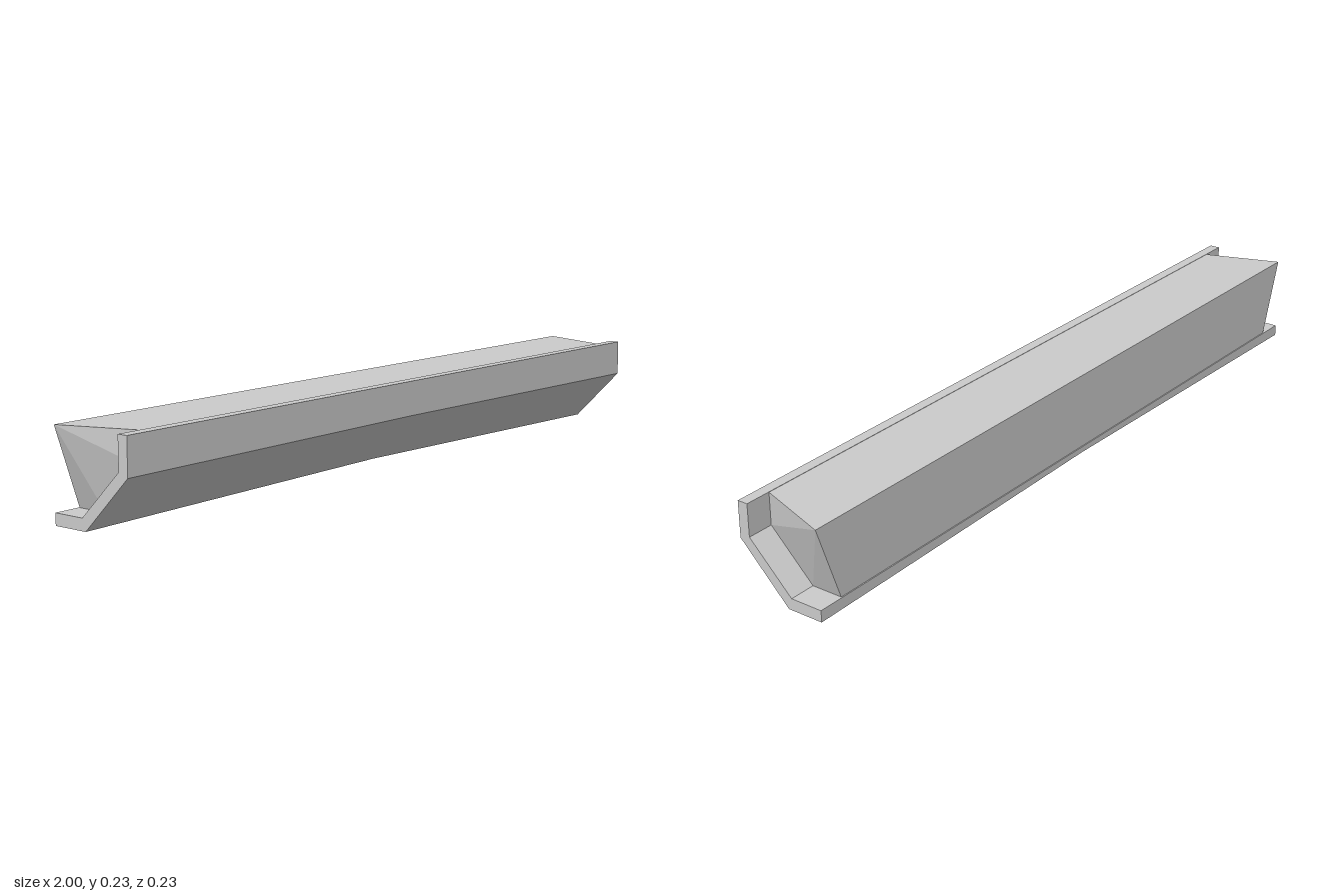
import * as THREE from 'three';
import { ConvexGeometry } from 'three/addons/geometries/ConvexGeometry.js';

const material = new THREE.MeshStandardMaterial({ color: 0xcccccc, flatShading: true });

// Shell cross-sections as [z, y]: outer face front to back, then inner face back to front
const inner = [[-0.116, 0.03], [-0.029, 0.03], [0.089, 0.147], [0.089, 0.231]];
const endSection = [[0.117, 0.231], [0.117, 0.137], [-0.019, 0], [-0.116, 0], ...inner];
// The underside rises slightly toward the middle
const midSection = [[0.117, 0.231], [0.117, 0.142], [-0.01, 0.015], [-0.116, 0.015], ...inner];

function shellGeometry() {
  const rings = [[-1, endSection], [0, midSection], [1, endSection]].map(
    ([x, section]) => section.map(([z, y]) => [x, y, z]));
  const positions = [];
  const quad = (a, b, c, d) => positions.push(...a, ...b, ...c, ...a, ...c, ...d);
  const n = endSection.length;

  // Skin between neighbouring sections
  for (let r = 0; r < rings.length - 1; r++) {
    for (let i = 0; i < n; i++) {
      const j = (i + 1) % n;
      quad(rings[r][i], rings[r][j], rings[r + 1][j], rings[r + 1][i]);
    }
  }
  // End caps
  const [left, right] = [rings[2], rings[0]];
  for (let i = 0; i < 3; i++) {
    quad(left[i], left[i + 1], left[6 - i], left[7 - i]);
    quad(right[7 - i], right[6 - i], right[i + 1], right[i]);
  }
  const geometry = new THREE.BufferGeometry();
  geometry.setAttribute('position', new THREE.Float32BufferAttribute(positions, 3));
  geometry.computeVertexNormals();
  return geometry;
}

// Solid core whose ends slope back from the top rear corner
function coreGeometry() {
  const points = [];
  for (const side of [-1, 1]) {
    points.push(new THREE.Vector3(side, 0.23, -0.113));
    for (const [z, y] of [[0.089, 0.23], [0.089, 0.147], [-0.029, 0.03], [-0.113, 0.03]]) {
      points.push(new THREE.Vector3(side * 0.93, y, z));
    }
  }
  return new ConvexGeometry(points);
}

export function createModel() {
  const group = new THREE.Group();
  group.name = 'beam';
  const add = (name, geometry) => {
    const mesh = new THREE.Mesh(geometry, material);
    mesh.name = name;
    group.add(mesh);
  };
  add('outerShell', shellGeometry());
  add('innerCore', coreGeometry());
  return group;
}
